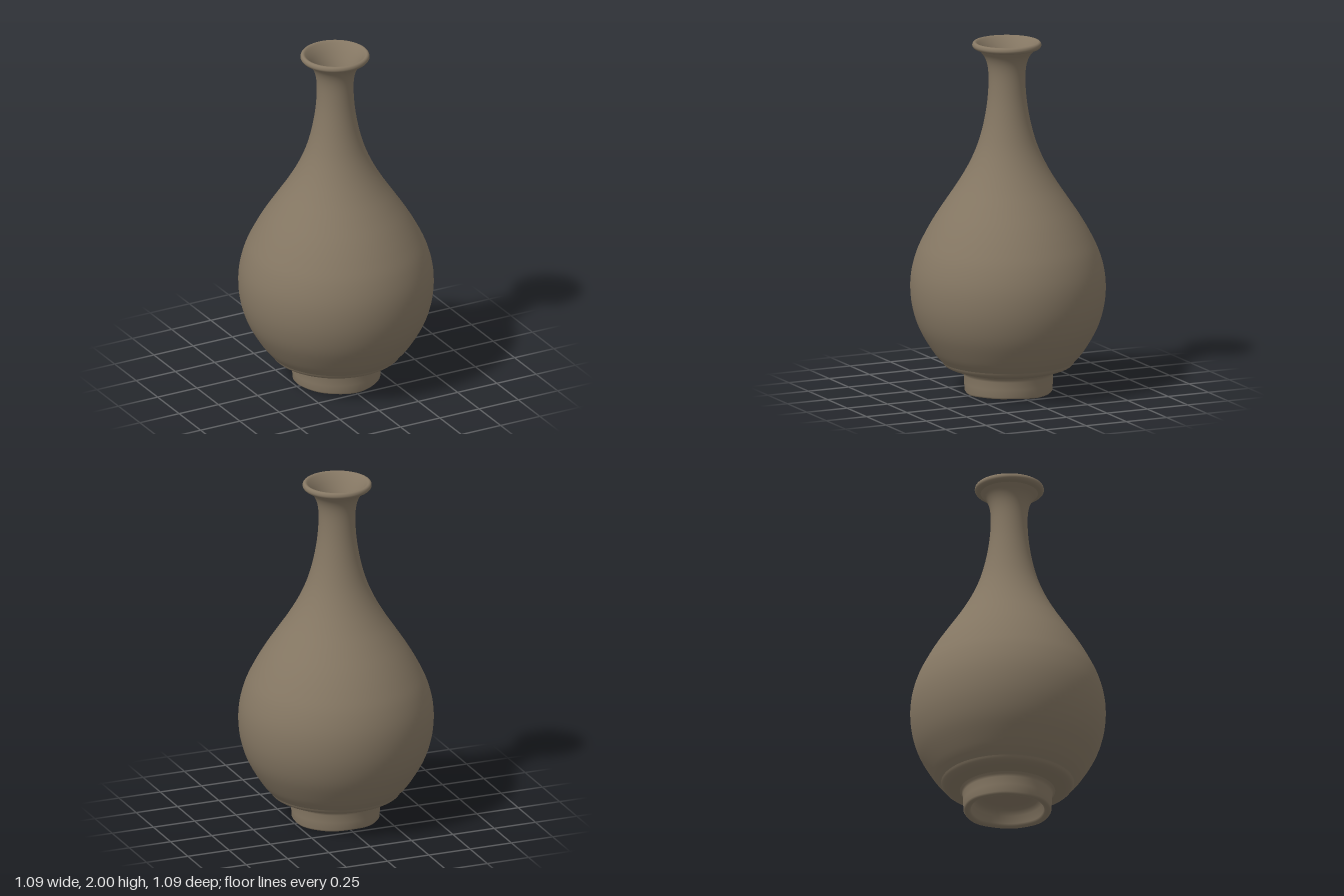
import * as THREE from 'three';

const SEGMENTS = 96;

// Smooth curve through a few [radius, height] points
function smooth(points, count) {
  return new THREE.SplineCurve(points.map(([r, y]) => new THREE.Vector2(r, y))).getPoints(count);
}

// Lathe a profile; the hand-thrown shape leans slightly towards its neck
function turned(name, profile, material) {
  const geometry = new THREE.LatheGeometry(profile, SEGMENTS);
  const p = geometry.attributes.position;
  for (let i = 0; i < p.count; i++) {
    const y = p.getY(i);
    p.setX(i, p.getX(i) + 0.002 - 0.006 * y);
    p.setZ(i, p.getZ(i) + 0.0025 * y);
  }
  const mesh = new THREE.Mesh(geometry, material);
  mesh.name = name;
  return mesh;
}

export function createModel() {
  const group = new THREE.Group();
  group.name = 'bottleVase';
  const clay = new THREE.MeshStandardMaterial({ color: 0x857763 });
  clay.name = 'brown clay';

  // Foot ring with a recessed underside and a slightly uneven lower edge
  const foot = turned('footRing', [
    [0, 0.1], [0.14, 0.1], [0.175, 0.09], [0.195, 0.065], [0.203, 0.02],
    [0.21, 0.008], [0.225, 0.004], [0.238, 0.006], [0.246, 0.016],
    [0.248, 0.06], [0.25, 0.105], [0.256, 0.12], [0.27, 0.132],
  ].map(([r, y]) => new THREE.Vector2(r, y)), clay);
  const p = foot.geometry.attributes.position;
  for (let i = 0; i < p.count; i++) {
    if (p.getY(i) > 0.03) continue;
    const a = Math.atan2(p.getZ(i), p.getX(i));
    p.setY(i, p.getY(i) + 0.003 * Math.sin(3 * a) + 0.001 * Math.sin(7 * a));
  }
  foot.geometry.computeBoundingSphere();
  group.add(foot);

  // Ledge where the body overhangs the foot
  group.add(turned('bodyLedge', smooth([
    [0.262, 0.128], [0.295, 0.137], [0.335, 0.149], [0.36, 0.163], [0.372, 0.181],
  ], 16), clay));

  // Pear-shaped body rising into the narrow neck
  group.add(turned('bodyAndNeck', smooth([
    [0.372, 0.181], [0.422, 0.24], [0.493, 0.36], [0.531, 0.47], [0.546, 0.58],
    [0.54, 0.69], [0.511, 0.8], [0.465, 0.9], [0.408, 1.0], [0.342, 1.1],
    [0.275, 1.2], [0.217, 1.3], [0.172, 1.4], [0.141, 1.5], [0.12, 1.6],
    [0.107, 1.7], [0.103, 1.8], [0.11, 1.87], [0.129, 1.92], [0.16, 1.958],
  ], 90), clay));

  // Rolled lip and flared mouth
  group.add(turned('lipAndMouth', smooth([
    [0.16, 1.958], [0.182, 1.964], [0.193, 1.978], [0.19, 1.994], [0.178, 2.0],
    [0.163, 1.99], [0.135, 1.953], [0.107, 1.9], [0.087, 1.84], [0.075, 1.77], [0.071, 1.7],
  ], 60), clay));

  // Floor closing the inside of the neck
  group.add(turned('neckFloor', [
    new THREE.Vector2(0.071, 1.7), new THREE.Vector2(0, 1.695),
  ], clay));

  return group;
}
